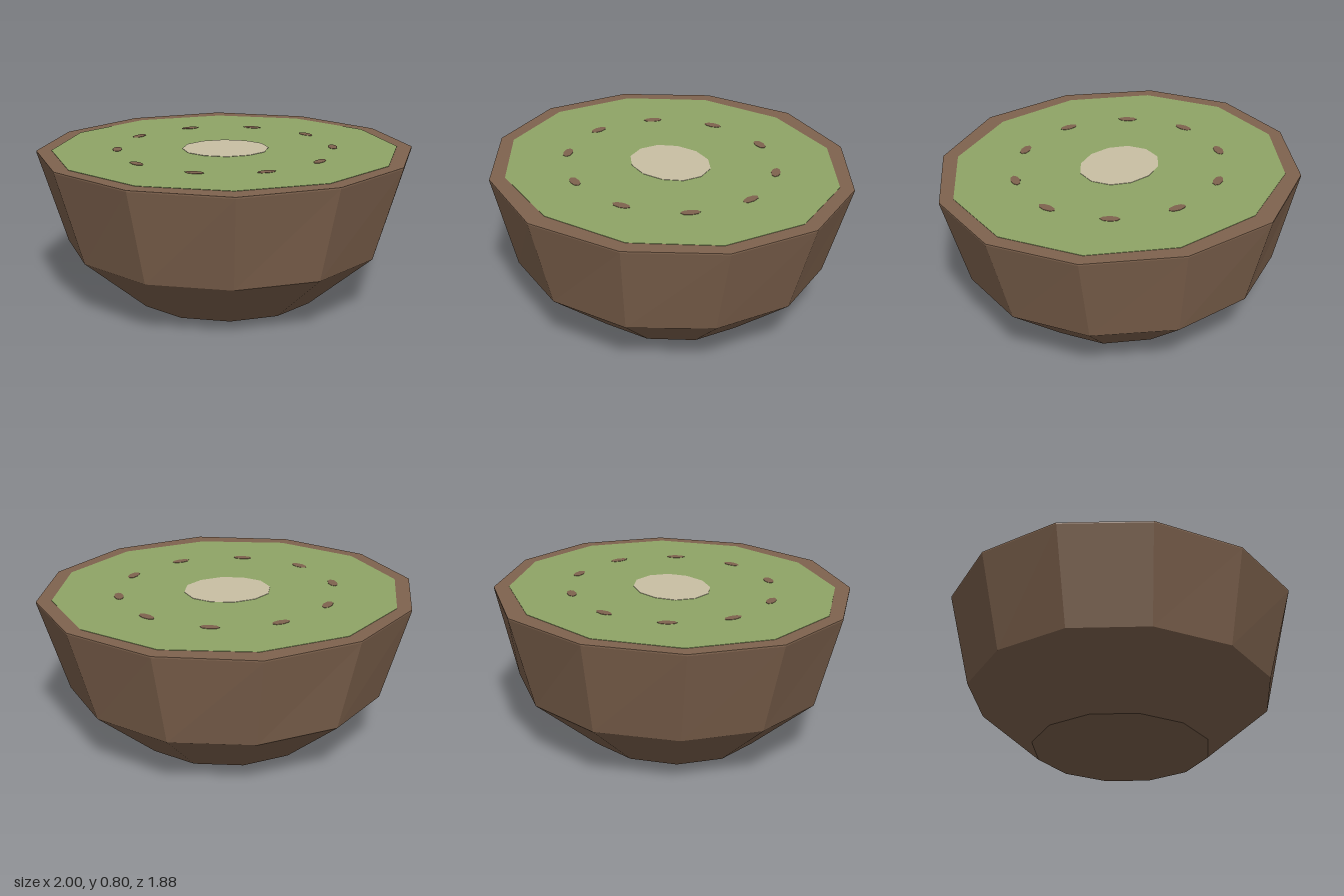
import * as THREE from 'three';

// Twelve-sided ring: half width rx, and the z of the corners 30, 60 and 90 degrees round
function ring(y, rx, z30, z60, z90) {
  const depths = [0, z30, z60, z90, z60, z30];
  const points = [];
  for (let i = 0; i < 12; i++) {
    const depth = depths[i % 6] * (i < 6 ? -1 : 1);
    points.push([rx * Math.cos(i * Math.PI / 6), y, depth]);
  }
  return points;
}

// Faceted solid through rings listed from bottom to top, capped at both ends
function loft(rings) {
  const positions = [];
  const n = rings[0].length;
  for (let r = 0; r + 1 < rings.length; r++) {
    const lower = rings[r], upper = rings[r + 1];
    for (let i = 0; i < n; i++) {
      const j = (i + 1) % n;
      positions.push(...lower[i], ...lower[j], ...upper[j], ...lower[i], ...upper[j], ...upper[i]);
    }
  }
  const bottom = rings[0], top = rings[rings.length - 1];
  for (let i = 1; i < n - 1; i++) {
    positions.push(...bottom[0], ...bottom[i + 1], ...bottom[i]);
    positions.push(...top[0], ...top[i], ...top[i + 1]);
  }
  const geometry = new THREE.BufferGeometry();
  geometry.setAttribute('position', new THREE.Float32BufferAttribute(positions, 3));
  geometry.computeVertexNormals();
  return geometry;
}

function material(name, color) {
  const m = new THREE.MeshStandardMaterial({ color });
  m.name = name;
  return m;
}

export function createModel() {
  const group = new THREE.Group();
  group.name = 'halvedFruit';
  const brown = material('brown skin', 0x7f634e);
  const green = material('green flesh', 0x8fa566);
  const cream = material('cream core', 0xc9c0a4);

  function add(name, geometry, mat) {
    const mesh = new THREE.Mesh(geometry, mat);
    mesh.name = name;
    group.add(mesh);
    return mesh;
  }

  // Skin: small flat base, sloping lower band, steeper upper band and rim
  add('skin', loft([
    ring(0, 0.5, 0.235, 0.407, 0.47),
    ring(0.3, 0.85, 0.4, 0.71, 0.815),
    ring(0.79, 1, 0.45, 0.8, 0.94),
    ring(0.798, 1, 0.45, 0.8, 0.94),
  ]), brown);

  // Cut face and pale core as thin plates
  add('flesh', loft([
    ring(0.796, 0.92, 0.42, 0.73, 0.84),
    ring(0.8, 0.92, 0.42, 0.73, 0.84),
  ]), green);
  add('core', loft([
    ring(0.798, 0.23, 0.1, 0.167, 0.193),
    ring(0.802, 0.23, 0.1, 0.167, 0.193),
  ]), cream);

  // Ten flat oval seeds lying along an oval around the core
  const seedGeometry = new THREE.CylinderGeometry(1, 1, 0.004, 8);
  seedGeometry.scale(0.025, 1, 0.05);
  for (let i = 0; i < 10; i++) {
    const a = i * Math.PI / 5;
    const seed = add('seed', seedGeometry, brown);
    seed.position.set(0.573 * Math.cos(a), 0.8, -0.528 * Math.sin(a));
    seed.rotation.y = a;
  }
  return group;
}
